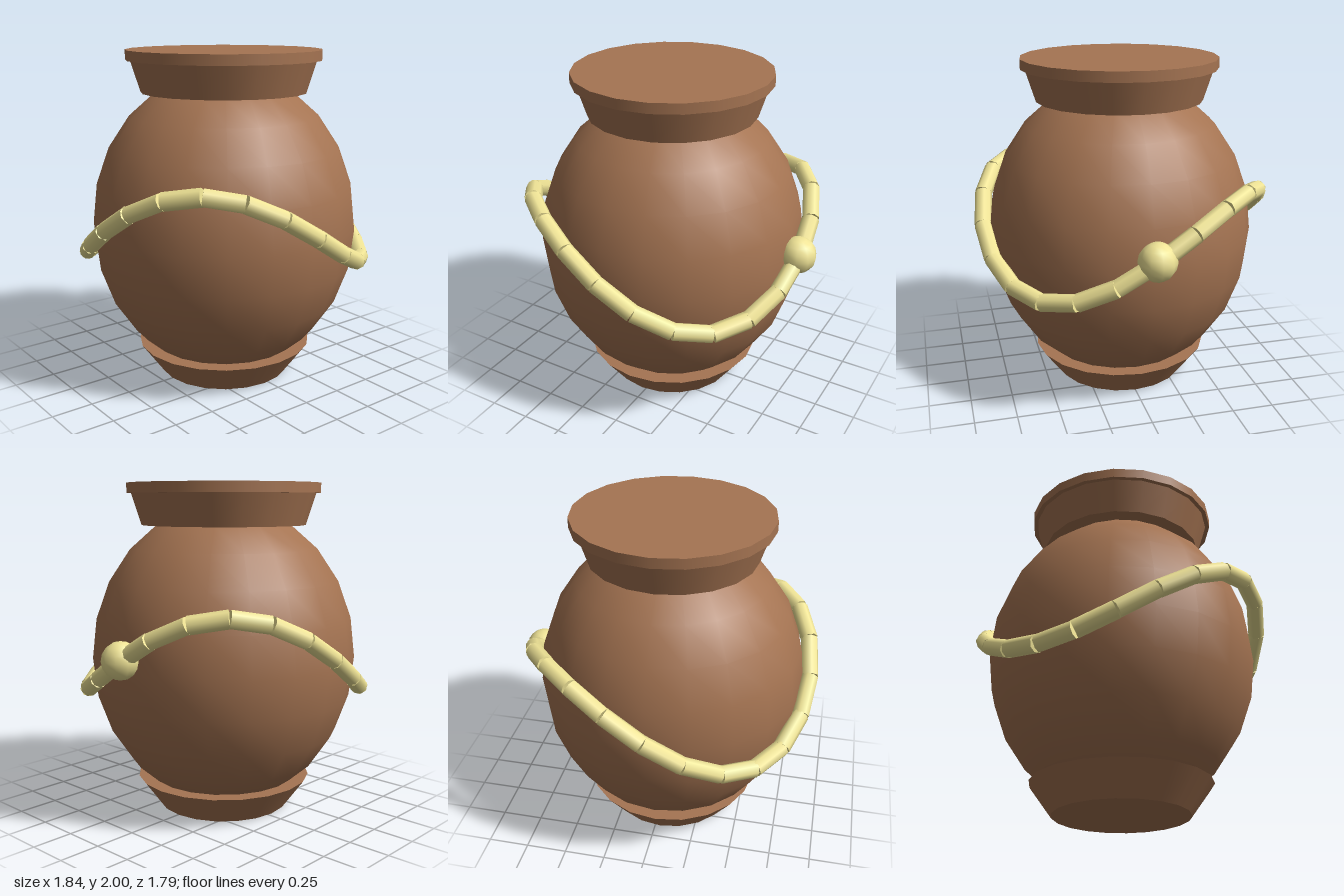
import * as THREE from 'three';

const CLAY = new THREE.MeshStandardMaterial({ color: 0xa57452 });
const ROPE = new THREE.MeshStandardMaterial({ color: 0xf0e496 });

export function createModel() {
  const group = new THREE.Group();
  group.name = 'ropedPot';
  const cx = -0.03; // the bead sticks out on one side, so the pot sits off centre

  const add = (name, geometry, material, x, y, z) => {
    const mesh = new THREE.Mesh(geometry, material);
    mesh.name = name;
    mesh.position.set(x, y, z);
    group.add(mesh);
    return mesh;
  };
  // Round section between two heights
  const ring = (name, rTop, rBottom, y0, y1) =>
    add(name, new THREE.CylinderGeometry(rTop, rBottom, y1 - y0, 20), CLAY, cx, (y0 + y1) / 2, 0);

  // Pot
  ring('foot', 0.54, 0.405, 0, 0.185);
  const belly = add('belly', new THREE.SphereGeometry(0.81, 20, 12), CLAY, cx, 0.95, 0);
  belly.scale.y = 0.93 / 0.81;
  ring('neck', 0.56, 0.5, 1.75, 1.94);
  ring('rim', 0.587, 0.587, 1.94, 2);

  // Rope: straight links along a ring that rises and dips twice
  const links = 24;
  const ropePoint = (i) => {
    const a = (i / links) * Math.PI * 2;
    return new THREE.Vector3(cx + 0.845 * Math.cos(a), 1.02 - 0.27 * Math.sin(2 * a), 0.845 * Math.sin(a));
  };
  const up = new THREE.Vector3(0, 1, 0);
  for (let i = 0; i < links; i++) {
    const a = ropePoint(i);
    const b = ropePoint(i + 1);
    const dir = b.clone().sub(a);
    const mid = a.clone().add(b).multiplyScalar(0.5);
    const link = add('ropeLink', new THREE.CylinderGeometry(0.052, 0.052, dir.length(), 8), ROPE, mid.x, mid.y, mid.z);
    link.quaternion.setFromUnitVectors(up, dir.normalize());
  }

  // Knot on the left side
  add('knot', new THREE.SphereGeometry(0.11, 10, 8), ROPE, 0.805, 1.025, 0);

  return group;
}
